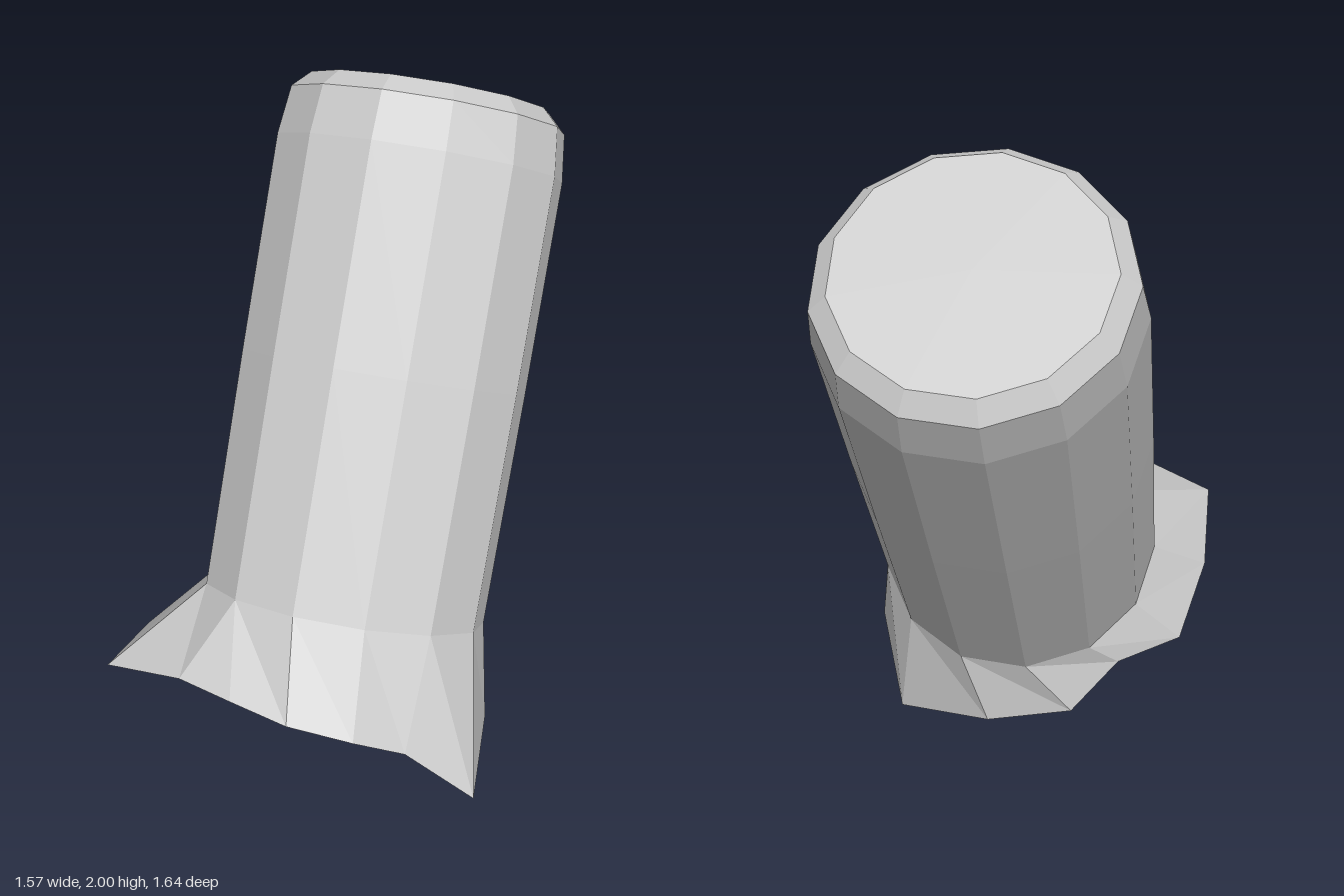
import * as THREE from 'three';

const SIDES = 13;
const PHASE = THREE.MathUtils.degToRad(15);
const NECK = { radius: 0.425, height: -0.8 };

export function createModel() {
  const model = new THREE.Group();
  model.name = 'flaredTube';
  const material = new THREE.MeshStandardMaterial({
    color: 0xcccccc, flatShading: true, side: THREE.DoubleSide,
  });

  // Leaning frame shared by the tube and its flared skirt
  const axis = new THREE.Vector3(0.37, 1, -0.525).normalize();
  const across = new THREE.Vector3(1, 0, 0).addScaledVector(axis, -axis.x).normalize();
  const forward = new THREE.Vector3().crossVectors(across, axis);
  const frame = new THREE.Matrix4().makeBasis(across, axis, forward).setPosition(0.19, 1.2, -0.157);

  const addPart = (name, geometry) => {
    const flat = geometry.index ? geometry.toNonIndexed() : geometry;
    flat.computeVertexNormals();
    const mesh = new THREE.Mesh(flat, material);
    mesh.name = name;
    model.add(mesh);
  };

  // Tube with bevelled shoulder and closed end
  const profile = [
    [NECK.radius, NECK.height], [0.43, -0.1], [0.43, 0.53],
    [0.412, 0.67], [0.36, 0.72], [0, 0.725],
  ].map(([r, h]) => new THREE.Vector2(r, h));
  const tube = new THREE.LatheGeometry(profile, SIDES, Math.PI / 2 - PHASE);
  addPart('tube', tube.applyMatrix4(frame));

  // Ragged lower rim: side of the neck each point hangs from, then its position
  const rim = [
    [0, 0.3, 0.2, 0.48], [1, 0.13, 0.25, 0.82], [2, -0.06, 0.43, 0.76],
    [3, -0.21, 0.51, 0.75], [4, -0.38, 0.56, 0.68], [5, -0.51, 0.59, 0.57],
    [5, -0.62, 0.58, 0.43], [6, -0.79, 0.5, 0.23], [7, -0.62, 0.4, -0.02],
    [8, -0.43, 0.27, -0.18], [9, -0.2, 0.26, -0.19], [10, -0.04, 0.12, -0.18],
    [11, 0.18, 0.07, -0.04], [12, 0.35, 0, 0.24],
  ];
  const neckPoint = (side) => {
    const angle = PHASE + (side / SIDES) * Math.PI * 2;
    return new THREE.Vector3(
      Math.cos(angle) * NECK.radius, NECK.height, Math.sin(angle) * NECK.radius,
    ).applyMatrix4(frame).toArray();
  };

  // Flared open skirt joining the neck to the rim
  const corners = [];
  rim.forEach(([side, ...low], i) => {
    const [nextSide, ...nextLow] = rim[(i + 1) % rim.length];
    const high = neckPoint(side);
    const nextHigh = neckPoint(nextSide);
    if (side !== nextSide) corners.push(...high, ...nextHigh, ...low);
    corners.push(...nextHigh, ...nextLow, ...low);
  });
  const skirt = new THREE.BufferGeometry();
  skirt.setAttribute('position', new THREE.Float32BufferAttribute(corners, 3));
  addPart('flaredSkirt', skirt);

  return model;
}
